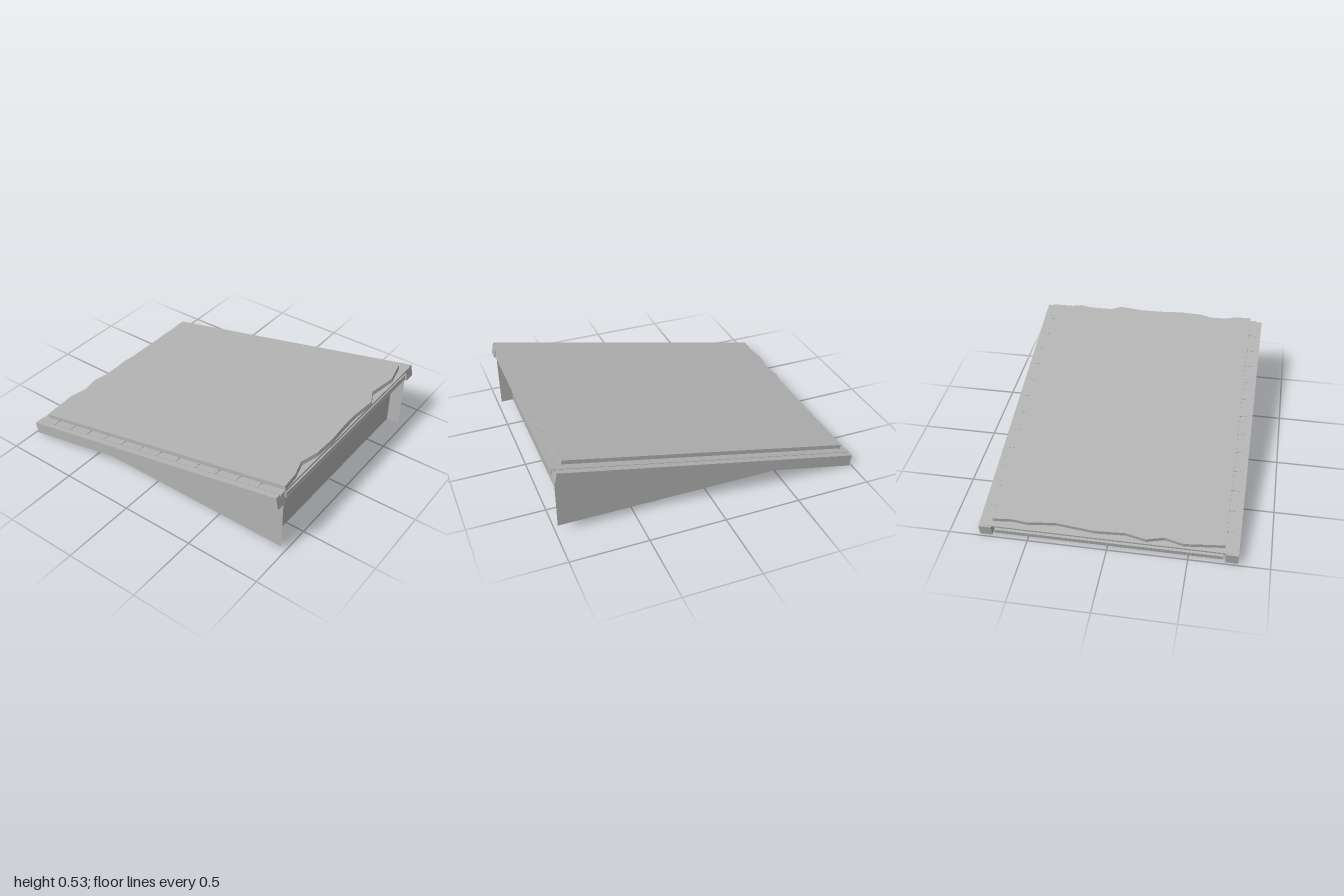
import * as THREE from 'three';

export function createModel() {
  const model = new THREE.Group();
  model.name = 'slopedPanel';
  const grey = new THREE.MeshStandardMaterial({ color: 0xb3b3b3 });
  grey.name = 'grey';
  const greySheet = new THREE.MeshStandardMaterial({ color: 0xb3b3b3, side: THREE.DoubleSide });
  greySheet.name = 'greyThin';

  const angle = THREE.MathUtils.degToRad(12);
  const cos = Math.cos(angle), sin = Math.sin(angle), centreY = 0.25;

  const add = (parent, name, geometry, material = grey) => {
    const mesh = new THREE.Mesh(geometry, material);
    mesh.name = name;
    parent.add(mesh);
    return mesh;
  };
  // Box given by its limits along each axis
  const box = (parent, name, x0, x1, y0, y1, z0, z1) =>
    add(parent, name, new THREE.BoxGeometry(x1 - x0, y1 - y0, z1 - z0))
      .position.set((x0 + x1) / 2, (y0 + y1) / 2, (z0 + z1) / 2);

  // Everything that lies on the slope is built flat, then tilted
  const deck = new THREE.Group();
  deck.name = 'tiltedDeck';
  deck.rotation.z = angle;
  deck.position.y = centreY;
  model.add(deck);

  // Side rails
  box(deck, 'frontRail', -1.014, 1.014, -0.04, 0.04, 0.727, 0.805);
  box(deck, 'backRail', -1.014, 1.014, -0.04, 0.04, -0.805, -0.727);

  // Lower board, separated from the slats by an open slot
  box(deck, 'lowerBoard', -1.008, 1.012, -0.021, 0.01, -0.71, 0.71);

  // Cross slats bridging the rails
  const slats = 13, start = -1.004, pitch = 2.024 / slats;
  for (let i = 0; i < slats; i++) {
    const x = start + i * pitch;
    box(deck, 'slat', x, x + pitch - (i < slats - 1 ? 0.008 : 0), 0.03, 0.043, -0.767, 0.767);
  }

  // Top sheet with ragged ends, as [x, z] in plan
  const lowEnd = [[-0.96, -0.722], [-0.95, -0.6], [-0.96, -0.5], [-0.94, -0.33], [-0.965, -0.08],
    [-0.955, 0.11], [-0.982, 0.24], [-0.955, 0.35], [-0.983, 0.47], [-0.96, 0.72]];
  const highEnd = [[0.985, 0.72], [0.975, 0.6], [0.938, 0.48], [0.975, 0.36], [0.982, 0.2],
    [0.972, 0.06], [0.97, -0.08], [0.988, -0.25], [0.935, -0.36], [0.97, -0.55], [0.93, -0.722]];
  const outline = [...lowEnd, ...highEnd]
    .map(([x, z]) => new THREE.Vector2((x + 0.07 * sin) / cos, -z));
  const sheet = new THREE.ExtrudeGeometry(new THREE.Shape(outline), { depth: 0.027, bevelEnabled: false });
  sheet.rotateX(-Math.PI / 2);
  sheet.translate(0, 0.043, 0);
  add(deck, 'topSheet', sheet);

  // Thin wedge-shaped side walls reaching up to the lower board
  const slopeY = x => centreY + x * sin / cos - 0.022 / cos;
  const wall = new THREE.Shape([
    new THREE.Vector2((0.05 - centreY + 0.022 / cos) * cos / sin, 0.05),
    new THREE.Vector2(0.985, 0.05),
    new THREE.Vector2(0.985, slopeY(0.985)),
  ]);
  for (const side of [1, -1]) {
    add(model, side > 0 ? 'frontWall' : 'backWall', new THREE.ShapeGeometry(wall), greySheet)
      .position.z = side * 0.726;
  }

  // Upright end panel, set back between the walls
  box(model, 'endPanel', 0.88, 0.905, 0.06, 0.425, -0.71, 0.71);

  return model;
}
